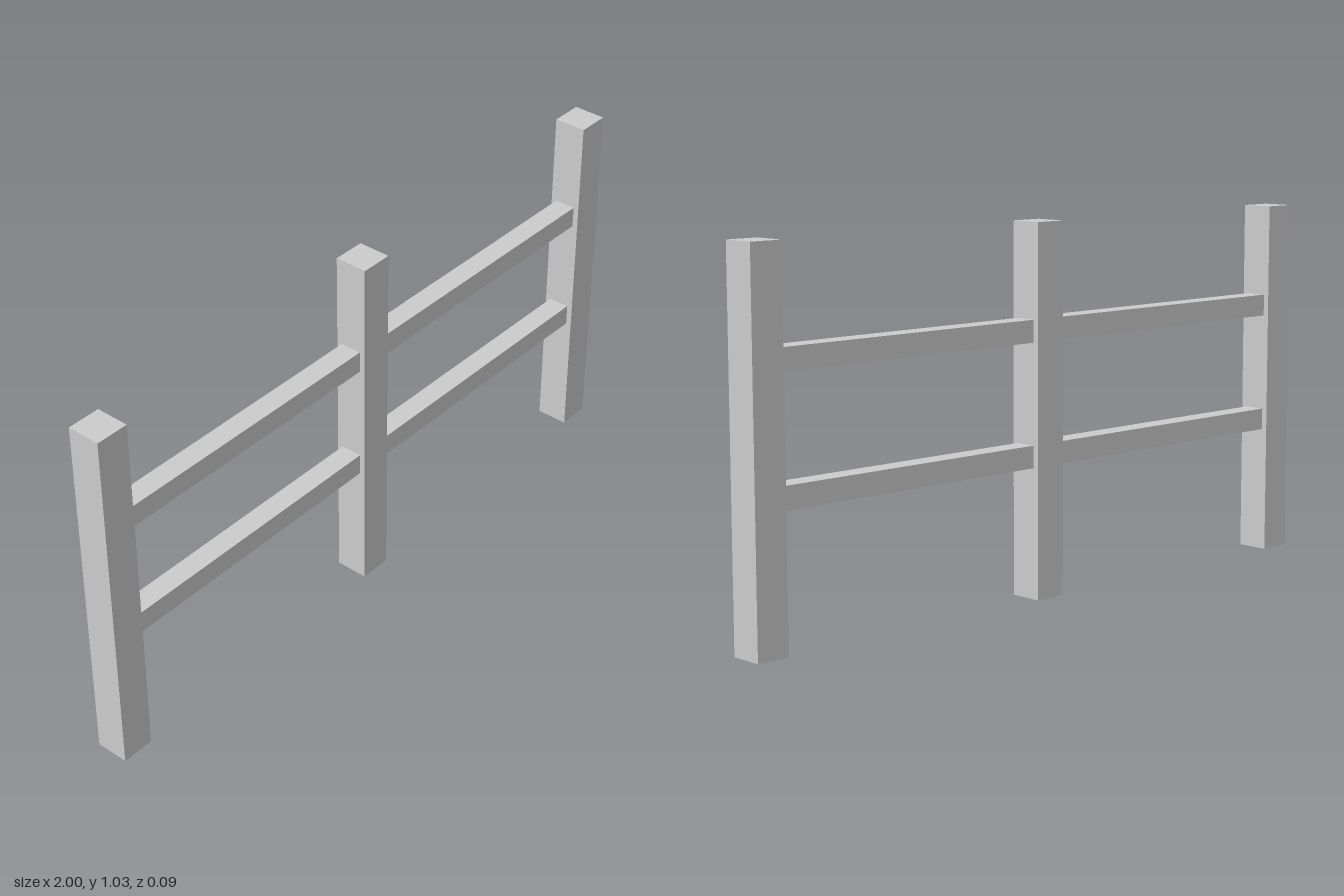
import * as THREE from 'three';

const POST = { width: 0.095, height: 1.03 };
const RAIL = 0.062;

export function createModel() {
  const fence = new THREE.Group();
  fence.name = 'fence';
  const material = new THREE.MeshStandardMaterial({ color: 0xcccccc, flatShading: true });

  const addBox = (name, size, position) => {
    const mesh = new THREE.Mesh(new THREE.BoxGeometry(...size), material);
    mesh.name = name;
    mesh.position.set(...position);
    fence.add(mesh);
  };

  // Three square posts, the outer two flush with the ends
  const span = 1 - POST.width / 2;
  const posts = { rightPost: -span, middlePost: 0, leftPost: span };
  for (const [name, x] of Object.entries(posts)) {
    addBox(name, [POST.width, POST.height, POST.width], [x, POST.height / 2, 0]);
  }

  // Two square rails in each bay, butting against the post faces
  const railLength = span - POST.width;
  for (const [side, sign] of [['right', -1], ['left', 1]]) {
    for (const [level, y] of [['Lower', 0.395], ['Upper', 0.737]]) {
      addBox(`${side}${level}Rail`, [railLength, RAIL, RAIL], [sign * span / 2, y, 0]);
    }
  }
  return fence;
}
